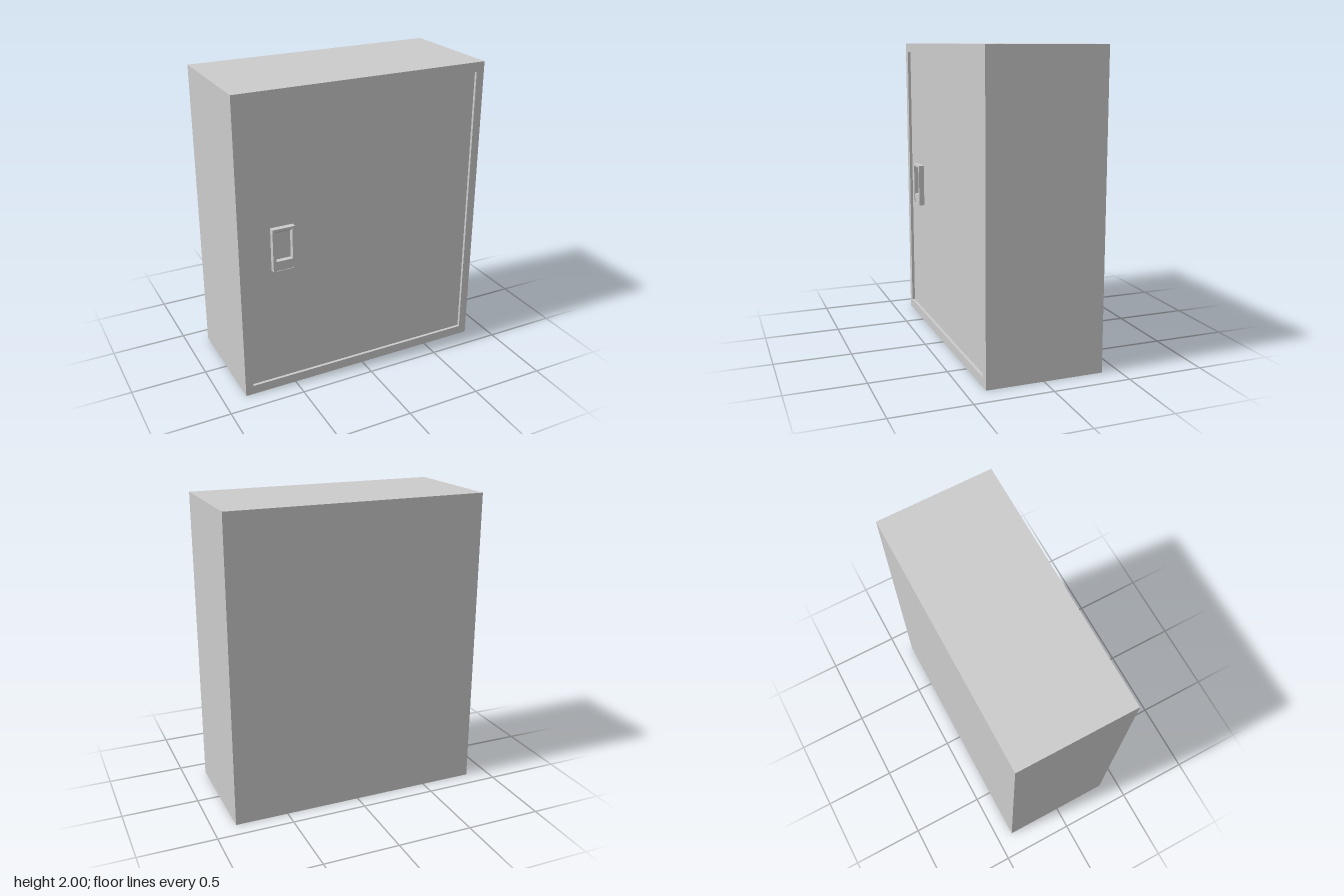
import * as THREE from 'three';

const material = new THREE.MeshStandardMaterial({ color: 0xcccccc, flatShading: true });

function add(parent, name, geometry) {
  const mesh = new THREE.Mesh(geometry, material);
  mesh.name = name;
  parent.add(mesh);
  return mesh;
}

// Box given by its limits on each axis
function block([x0, x1], [y0, y1], [z0, z1]) {
  return new THREE.BoxGeometry(x1 - x0, y1 - y0, z1 - z0)
    .translate((x0 + x1) / 2, (y0 + y1) / 2, (z0 + z1) / 2);
}

function trace(path, [x0, x1], [y0, y1]) {
  path.moveTo(x0, y0);
  path.lineTo(x1, y0);
  path.lineTo(x1, y1);
  path.lineTo(x0, y1);
  path.closePath();
  return path;
}

// Rectangular frame with a rectangular opening
function frame(outerX, outerY, innerX, innerY, [z0, z1]) {
  const shape = trace(new THREE.Shape(), outerX, outerY);
  shape.holes.push(trace(new THREE.Path(), innerX, innerY));
  return new THREE.ExtrudeGeometry(shape, { depth: z1 - z0, bevelEnabled: false }).translate(0, 0, z0);
}

export function createModel() {
  const model = new THREE.Group();
  model.name = 'wallCabinet';

  // Cabinet shell and the front rim around the door
  const bodyX = [-0.85, 0.85], bodyY = [0, 2];
  const doorX = [-0.798, 0.795], doorY = [0.062, 1.938];
  add(model, 'cabinetBody', block(bodyX, bodyY, [-0.39, 0.33]));
  add(model, 'frontRim', frame(bodyX, bodyY, doorX, doorY, [0.33, 0.373]));

  // Door set slightly back from the rim
  add(model, 'door', block(doorX, doorY, [0.33, 0.354]));

  // Recessed latch
  const latch = new THREE.Group();
  latch.name = 'latch';
  model.add(latch);
  const pocketX = [-0.616, -0.506], pocketY = [0.861, 1.128];
  add(latch, 'latchHousing', frame([-0.636, -0.486], [0.858, 1.143], pocketX, pocketY, [0.354, 0.39]));
  add(latch, 'latchButton', block(pocketX, [0.861, 0.924], [0.354, 0.386]));

  // Sloped ceiling of the pocket, a wedge profile in (z, y) swept along x
  const wedge = new THREE.Shape([
    new THREE.Vector2(-0.354, 1.104),
    new THREE.Vector2(-0.354, 1.128),
    new THREE.Vector2(-0.39, 1.128),
  ]);
  const ceiling = new THREE.ExtrudeGeometry(wedge, { depth: pocketX[1] - pocketX[0], bevelEnabled: false });
  add(latch, 'pocketCeiling', ceiling.rotateY(Math.PI / 2).translate(pocketX[0], 0, 0));

  return model;
}
